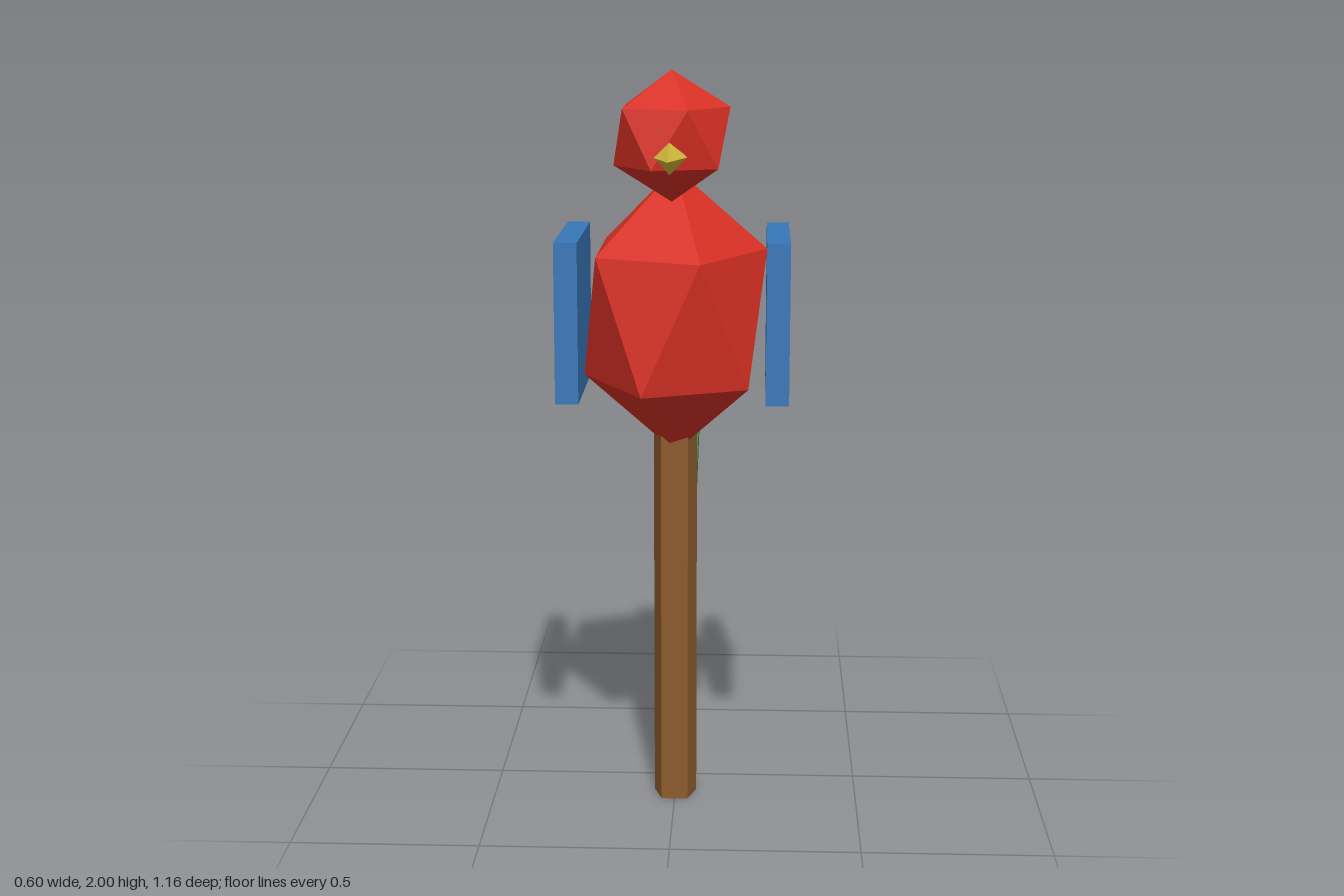
import * as THREE from 'three';

const paint = (name, color) => {
  const m = new THREE.MeshStandardMaterial({ color, flatShading: true });
  m.name = name;
  return m;
};

// Icosahedron standing on a point, with an upper-ring corner toward +x
function gem(rx, ry, rz) {
  const g = new THREE.IcosahedronGeometry(1, 0);
  g.rotateX(-Math.atan((1 + Math.sqrt(5)) / 2));
  g.rotateY(Math.PI / 2);
  g.scale(rx, ry, rz);
  return g;
}

export function createModel() {
  const red = paint('red feathers', 0xd93025);
  const blue = paint('blue wing', 0x3777b8);
  const green = paint('green tail', 0x2e8b45);
  const brown = paint('brown wood', 0x8b5a2b);
  const yellow = paint('yellow beak', 0xd4b93a);

  const model = new THREE.Group();
  model.name = 'birdOnPost';
  const add = (name, geometry, material, x, y, z) => {
    const mesh = new THREE.Mesh(geometry, material);
    mesh.name = name;
    mesh.position.set(x, y, z);
    model.add(mesh);
    return mesh;
  };

  const midZ = 0.126;

  // Five-sided post, flat face to the front
  const post = new THREE.CylinderGeometry(0.061, 0.061, 1.04, 5);
  post.rotateY(Math.PI);
  add('post', post, brown, 0, 0.52, midZ);

  // Body and head
  add('body', gem(0.27, 0.379, 0.35), red, 0, 1.358, midZ);
  add('head', gem(0.163, 0.163, 0.163), red, 0, 1.837, 0.331);

  // Four-sided beak pointing forward
  const beak = new THREE.ConeGeometry(0.043, 0.127, 4);
  beak.rotateX(Math.PI / 2);
  add('beak', beak, yellow, 0, 1.796, 0.5155);

  // Square slab wings
  for (const [name, side] of [['leftWing', 1], ['rightWing', -1]]) {
    add(name, new THREE.BoxGeometry(0.06, 0.417, 0.414), blue, side * 0.27, 1.36, midZ);
  }

  // Tail slab rising toward the back
  const tail = add('tail', new THREE.BoxGeometry(0.103, 0.059, 0.624), green, 0, 0.94, -0.292);
  tail.rotation.x = 0.5;

  return model;
}
